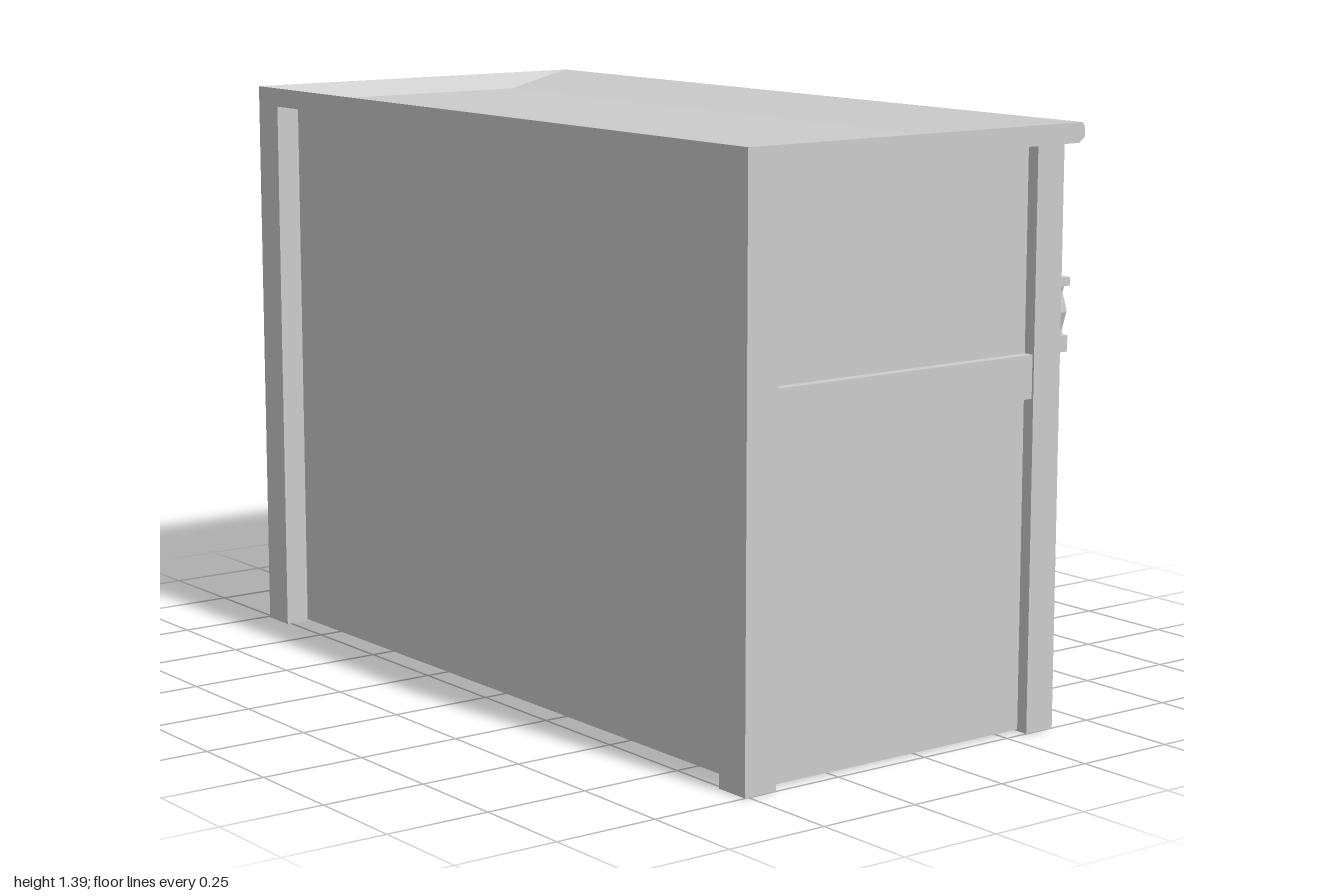
import * as THREE from 'three';

const mat = new THREE.MeshStandardMaterial({ color: 0xcccccc, side: THREE.DoubleSide });
const flatMat = new THREE.MeshStandardMaterial({ color: 0xcccccc, flatShading: true, side: THREE.DoubleSide });

export function createModel() {
  const root = new THREE.Group();
  root.name = 'shopBuilding';

  const add = (name, geo, parent = root, m = mat) => {
    const mesh = new THREE.Mesh(geo, m);
    mesh.name = name;
    parent.add(mesh);
    return mesh;
  };
  const group = (name) => {
    const g = new THREE.Group();
    g.name = name;
    root.add(g);
    return g;
  };
  // box given by its limits on each axis
  const box = (name, x0, x1, y0, y1, z0, z1, parent = root) => {
    const mesh = add(name, new THREE.BoxGeometry(x1 - x0, y1 - y0, z1 - z0), parent);
    mesh.position.set((x0 + x1) / 2, (y0 + y1) / 2, (z0 + z1) / 2);
    return mesh;
  };

  // main walls, leaving the entrance porch open
  box('rearCore', -0.45, 0.02, 0.004, 1.345, -0.96, 0.97);
  box('upperWall', 0.02, 0.355, 0.86, 1.345, -0.96, 0.97);
  box('porchCeiling', 0.02, 0.385, 0.72, 0.86, -0.96, 0.97);
  box('lowerWallLeft', 0.02, 0.385, 0.004, 0.72, 0.45, 0.97);
  box('lowerWallRight', 0.02, 0.385, 0.004, 0.72, -0.96, -0.46);
  box('centrePier', 0.02, 0.39, 0, 0.8, -0.065, 0.06);
  for (const [x0, x1] of [[-0.51, -0.425], [0.31, 0.39]])
    for (const [z0, z1] of [[-0.99, -0.9], [0.91, 1]]) box('cornerPillar', x0, x1, 0, 1.345, z0, z1);
  box('sideBandLeft', -0.425, 0.31, 0.775, 0.875, 0.95, 0.995);
  box('sideBandRight', -0.425, 0.31, 0.775, 0.875, -1, -0.95);

  // sunken roof with cornice, built from rectangular rings
  const ring = (x0, x1, y, z0, z1) => [[x0, y, z1], [x1, y, z1], [x1, y, z0], [x0, y, z0]];
  const rings = [
    ring(-0.51, 0.435, 1.342, -0.99, 1),
    ring(-0.51, 0.452, 1.355, -0.99, 1),
    ring(-0.51, 0.452, 1.378, -0.99, 1),
    ring(-0.51, 0.445, 1.388, -0.99, 1),
    ring(-0.46, 0.25, 1.348, -0.96, 0.965),
  ];
  const pos = [];
  const quad = (a, b, c, d) => pos.push(...a, ...b, ...c, ...a, ...c, ...d);
  for (let i = 0; i < rings.length - 1; i++)
    for (let j = 0; j < 4; j++) {
      const k = (j + 1) % 4;
      quad(rings[i][j], rings[i][k], rings[i + 1][k], rings[i + 1][j]);
    }
  quad(...rings[rings.length - 1]);
  quad(...[...rings[0]].reverse());
  const roof = new THREE.BufferGeometry();
  roof.setAttribute('position', new THREE.Float32BufferAttribute(pos, 3));
  roof.computeVertexNormals();
  add('roof', roof);

  // pilasters and rails of the upper storey
  for (const z of [0.508, 0.155, -0.2, -0.55]) {
    box('pilaster', 0.35, 0.372, 0.88, 1.342, z - 0.027, z + 0.027);
    box('pilasterBlock', 0.35, 0.38, 1.08, 1.14, z - 0.034, z + 0.034);
  }
  box('upperRail', 0.35, 0.362, 1.1, 1.13, -0.9, 0.91);

  // pointed windows with louvred shutters and a fanlight
  const hood = new THREE.Shape();
  hood.moveTo(-0.09, 0.89);
  hood.lineTo(0.09, 0.89);
  hood.lineTo(0.09, 1.255);
  hood.lineTo(0, 1.3);
  hood.lineTo(-0.09, 1.255);
  hood.closePath();
  const opening = new THREE.Path();
  opening.moveTo(-0.073, 0.91);
  opening.lineTo(-0.073, 1.21);
  opening.absarc(0, 1.21, 0.073, Math.PI, 0, true);
  opening.lineTo(0.073, 0.91);
  opening.closePath();
  hood.holes.push(opening);
  const frameGeo = new THREE.ExtrudeGeometry(hood, { depth: 0.025, bevelEnabled: false, curveSegments: 10 });
  for (let i = 0; i < 5; i++) {
    const w = group('window');
    w.position.set(0.355, 0, 0.697 - i * 0.354);
    w.rotation.y = Math.PI / 2;
    add('windowFrame', frameGeo, w);
    box('transom', -0.073, 0.073, 1.203, 1.215, 0, 0.018, w);
    for (const s of [-1, 1]) {
      const c = s * 0.037;
      for (const e of [-0.032, 0, 0.032]) box('shutterStile', c + e - 0.003, c + e + 0.003, 0.91, 1.205, 0, 0.016, w);
      for (let j = 0; j < 14; j++) {
        const slat = box('louvre', c - 0.032, c + 0.032, 0.915 + j * 0.0208, 0.927 + j * 0.0208, 0.006, 0.01, w);
        slat.rotation.x = -0.6;
      }
    }
    for (let j = 1; j < 6; j++) {
      const a = (j * Math.PI) / 6;
      const bar = add('fanlightBar', new THREE.BoxGeometry(0.07, 0.005, 0.014), w);
      bar.position.set(Math.cos(a) * 0.037, 1.212 + Math.sin(a) * 0.036, 0.007);
      bar.rotation.z = a;
    }
    const hub = add('fanlightHub', new THREE.CylinderGeometry(0.02, 0.02, 0.016, 14, 1, false, Math.PI / 2, Math.PI), w);
    hub.rotation.x = Math.PI / 2;
    hub.position.set(0, 1.212, 0.008);
  }

  // balcony with turned balusters
  const balcony = group('balcony');
  box('balconyFloor', 0.35, 0.503, 0.852, 0.89, -0.953, 0.907, balcony);
  box('frontRail', 0.478, 0.508, 1.004, 1.024, -0.953, 0.907, balcony);
  box('sideRail', 0.37, 0.478, 1.004, 1.024, 0.877, 0.907, balcony);
  box('sideRail', 0.37, 0.478, 1.004, 1.024, -0.953, -0.923, balcony);
  const profile = [[0.012, 0], [0.008, 0.012], [0.018, 0.055], [0.015, 0.072], [0.008, 0.1], [0.012, 0.115]];
  const balusterGeo = new THREE.LatheGeometry(profile.map(([r, y]) => new THREE.Vector2(r, y)), 8);
  const baluster = (x, z) => add('baluster', balusterGeo, balcony, flatMat).position.set(x, 0.889, z);
  const n = 27;
  for (let i = 0; i < n; i++) baluster(0.491, 0.889 - (i * 1.826) / (n - 1));
  for (const z of [0.889, -0.937]) for (const x of [0.41, 0.452]) baluster(x, z);

  // scalloped awning of puffed lobes
  const lobes = 11, lobeW = 1.835 / lobes;
  const lobeGeo = new THREE.PlaneGeometry(1, 1, 12, 10);
  const lp = lobeGeo.attributes.position;
  for (let i = 0; i < lp.count; i++) {
    const u = lp.getX(i) * 2, v = 0.5 - lp.getY(i);
    const bottom = 0.66 + 0.048 * (1 - Math.sqrt(Math.max(0, 1 - u * u * 0.98)));
    const side = Math.sqrt(1 - u * u * 0.6 * v);
    const fall = Math.sqrt(Math.max(0, 1 - Math.pow(v, 4)));
    lp.setXYZ(i, 0.385 + 0.06 * side * fall, 0.838 + (bottom - 0.838) * v, (-u * lobeW) / 2);
  }
  lobeGeo.computeVertexNormals();
  const awning = group('awning');
  for (let i = 0; i < lobes; i++) add('awningLobe', lobeGeo, awning).position.z = 0.895 - (i + 0.5) * lobeW;
  box('awningTop', 0.35, 0.444, 0.832, 0.838, -0.94, 0.895, awning);

  // blank sign board
  box('signBoard', 0.445, 0.495, 0.505, 0.8, -0.285, 0.3);
  box('signBracket', 0.38, 0.446, 0.72, 0.78, -0.05, 0.05);

  // shop bays: slabs with rounded front corners
  const slab = (name, x1, half, y0, y1, r, parent) => {
    const s = new THREE.Shape();
    s.moveTo(0.36, -half);
    s.lineTo(x1 - r, -half);
    s.absarc(x1 - r, -half + r, r, -Math.PI / 2, 0, false);
    s.absarc(x1 - r, half - r, r, 0, Math.PI / 2, false);
    s.lineTo(0.36, half);
    s.closePath();
    const mesh = add(name, new THREE.ExtrudeGeometry(s, { depth: y1 - y0, bevelEnabled: false, curveSegments: 6 }), parent);
    mesh.rotation.x = -Math.PI / 2;
    mesh.position.y = y0;
  };
  for (const zc of [0.673, -0.68]) {
    const bay = group('shopBay');
    bay.position.z = zc;
    slab('bayPlinth', 0.408, 0.215, 0.004, 0.02, 0.015, bay);
    slab('bayBase', 0.413, 0.222, 0.02, 0.145, 0.02, bay);
    box('basePanelRail', 0.41, 0.422, 0.025, 0.055, -0.21, 0.21, bay);
    box('basePanelRail', 0.41, 0.422, 0.122, 0.145, -0.21, 0.21, bay);
    for (const s of [-1, 1]) box('basePanelStile', 0.41, 0.422, 0.055, 0.122, s * 0.195 - 0.015, s * 0.195 + 0.015, bay);
    slab('sillLower', 0.435, 0.228, 0.142, 0.152, 0.02, bay);
    slab('sillUpper', 0.445, 0.233, 0.156, 0.17, 0.02, bay);
    slab('shopWindow', 0.417, 0.215, 0.15, 0.6, 0.01, bay);
    box('blind', 0.41, 0.424, 0.5, 0.6, -0.19, 0.19, bay);
    for (const s of [-1, 1]) {
      const post = add('bayPost', new THREE.CylinderGeometry(0.018, 0.018, 0.435, 14), bay);
      post.position.set(0.412, 0.385, s * 0.206);
    }
    slab('bayHead', 0.43, 0.225, 0.6, 0.622, 0.02, bay);
    slab('bayCap', 0.414, 0.22, 0.622, 0.635, 0.015, bay);
  }

  // porch steps, doors and sloping handrails on both sides of the pier
  for (const [z0, z1] of [[0.06, 0.45], [-0.46, -0.065]]) {
    const porch = group('porch');
    for (let i = 0; i < 4; i++) box('step', 0.02, 0.385 - i * 0.05, i * 0.04, (i + 1) * 0.04, z0, z1, porch);
    box('door', 0.02, 0.03, 0.16, 0.66, z0 + 0.05, z1 - 0.05, porch);
    for (const z of [z0 + 0.012, z1 - 0.012]) {
      const path = new THREE.LineCurve3(new THREE.Vector3(0.15, 0.312, z), new THREE.Vector3(0.365, 0.188, z));
      add('handrail', new THREE.TubeGeometry(path, 1, 0.007, 8), porch);
    }
  }
  return root;
}
